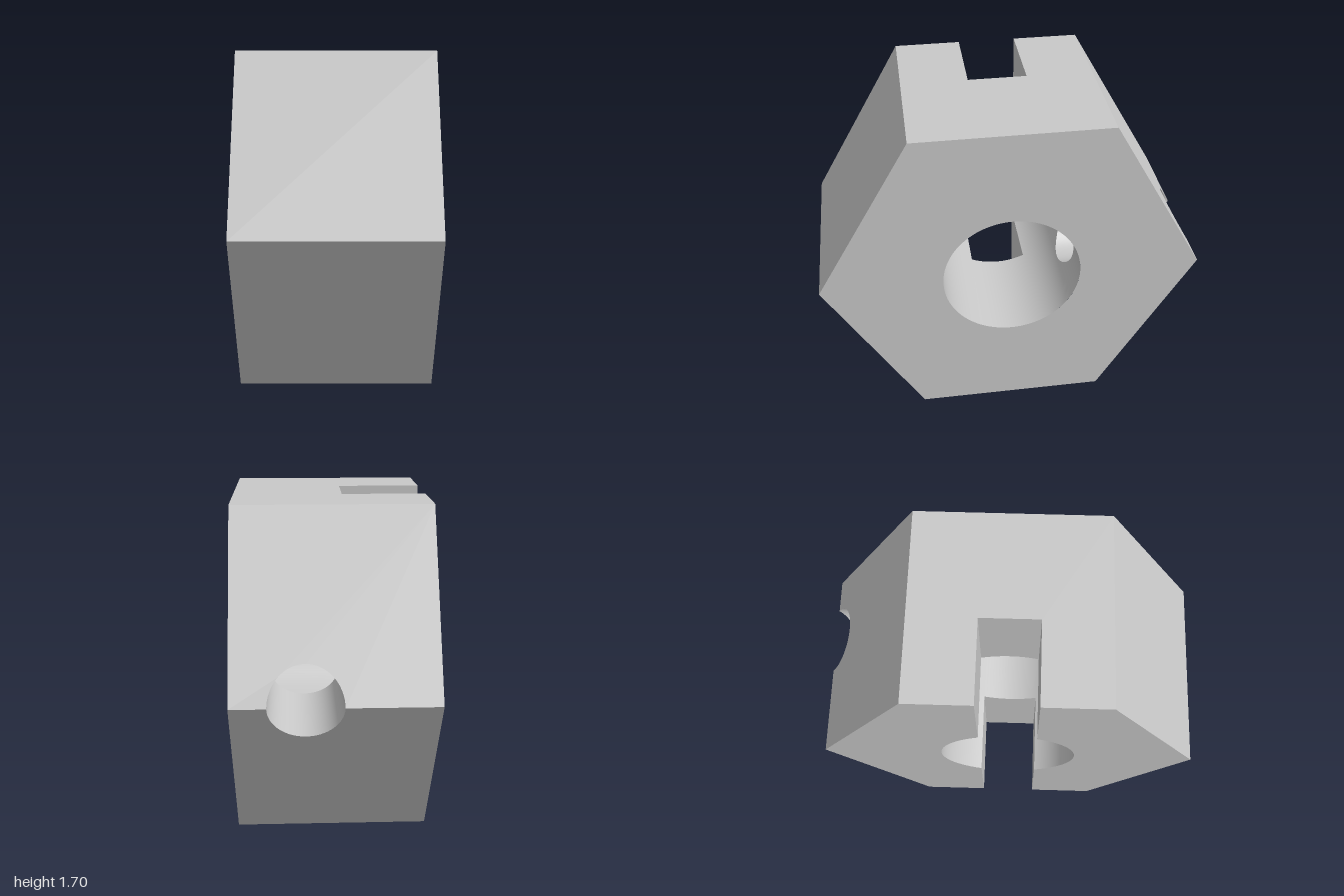
import * as THREE from 'three';
import { ParametricGeometry } from 'three/addons/geometries/ParametricGeometry.js';

const R = 0.98;                          // hexagon corner radius
const A = R * Math.sqrt(3) / 2;          // hexagon apothem
const END = 0.493, FLOOR = -0.063;       // end faces and slot floor along the axis (x)
const SLOT = 0.15;                       // half width of the slot
const BORE = 0.355;                      // main bore radius
const HX = 0.138, HR = 0.18;             // side hole centre and radius
const OPEN = Math.acos(SLOT / BORE);     // bore angle where the slot begins
const SEG = 64;

const vec = (x, y, z) => new THREE.Vector3(x, y, z);
const range = (n, f) => Array.from({ length: n + 1 }, (_, i) => f(i / n));
const arc = (r, from, to, n = 48) => range(n, t => {
  const a = from + (to - from) * t;
  return [r * Math.cos(a), r * Math.sin(a)];
});

export function createModel() {
  const steel = new THREE.MeshStandardMaterial({ color: 0xc8c8c8 });
  steel.name = 'grey metal';
  const nut = new THREE.Group();
  nut.name = 'slottedHexNut';

  const add = (name, geometry) => {
    const mesh = new THREE.Mesh(geometry, steel);
    mesh.name = name;
    nut.add(mesh);
  };

  // Flat face from 2D points, laid on axes u and v and facing u x v
  const face = (name, points, origin, u, v, hole) => {
    const shape = new THREE.Shape(points.map(p => new THREE.Vector2(...p)));
    if (hole) shape.holes.push(new THREE.Path(hole.map(p => new THREE.Vector2(...p))));
    const m = new THREE.Matrix4().makeBasis(u, v, u.clone().cross(v)).setPosition(origin);
    add(name, new THREE.ShapeGeometry(shape).applyMatrix4(m));
  };

  // Curved face
  const surface = (name, f, nu, nv) =>
    add(name, new ParametricGeometry((u, v, target) => target.set(...f(u, v)), nu, nv));

  const X = vec(1, 0, 0), Y = vec(0, 1, 0), Z = vec(0, 0, 1);

  // Solid end with the bore opening
  face('solidEnd', arc(R, 0, Math.PI * 2, 6).slice(0, 6), vec(END, 0, 0), vec(0, 0, -1), Y,
    arc(BORE, 0, Math.PI * 2, 128).slice(0, 128));

  // Slotted end: a jaw on each side and the slot walls
  for (const s of [1, -1]) {
    const jaw = [[SLOT, -A], [R / 2, -A], [R, 0], [R / 2, A], [SLOT, A], ...arc(BORE, OPEN, -OPEN)];
    face(s > 0 ? 'frontJawEnd' : 'backJawEnd', jaw.map(([z, y]) => [s * z, y]), vec(-END, 0, 0), Z, Y);

    const lip = BORE * Math.sin(OPEN);
    for (const k of [1, -1]) {
      const wall = [[-END, k * lip], [FLOOR, k * lip], [FLOOR, k * A], [-END, k * A]];
      face('slotWall', wall.map(([x, y]) => [-s * x, y]), vec(0, 0, s * SLOT), vec(-s, 0, 0), Y);
    }

    // Slot floor above and below the bore
    const floor = [[-SLOT, A], [SLOT, A], ...arc(BORE, OPEN, Math.PI - OPEN)];
    face('slotFloor', floor.map(([z, y]) => [z, s * y]), vec(FLOOR, 0, 0), Z, Y);
  }

  // Six outer flats: two cut by the slot, two notched by the side hole
  for (let i = 0; i < 6; i++) {
    const a = i * Math.PI / 3, c = Math.cos(a), s = Math.sin(a), h = R / 2;
    let points = [[-END, -h], [END, -h], [END, h], [-END, h]];
    if (i % 3 === 0) {
      points.push([-END, SLOT], [FLOOR, SLOT], [FLOOR, -SLOT], [-END, -SLOT]);
    } else if (i > 3) {
      const k = i === 5 ? 1 : -1;
      const notch = arc(HR, 0, Math.PI, SEG / 2)
        .map(([x, y]) => [HX + x, k * (h - y / Math.sin(Math.PI / 3))]);
      points = [[-END, -k * h], [END, -k * h], [END, k * h], ...notch, [-END, k * h]];
    }
    face('outerFlat', points, vec(0, c * A, s * A), X, vec(0, s, -c));
  }

  // Bore wall, angle measured from the back
  const onBore = (x, p) => [x, BORE * Math.sin(p), -BORE * Math.cos(p)];
  const boreWall = (name, x0, x1, p0, p1) =>
    surface(name, (u, v) => onBore(x0 + (x1 - x0) * u, p0 + (p1 - p0) * v), 1, 96);
  boreWall('boreWall', FLOOR, END, Math.PI / 4, Math.PI * 7 / 4);
  boreWall('backJawBore', -END, FLOOR, -OPEN, OPEN);
  boreWall('frontJawBore', -END, FLOOR, Math.PI - OPEN, Math.PI + OPEN);

  // Bore wall around the side hole, spread from the hole rim to a rectangle
  surface('boreWallAroundHole', (u, v) => {
    const t = v * Math.PI * 2, c = Math.cos(t), s = Math.sin(t);
    const m = Math.max(Math.abs(c), Math.abs(s));
    const outerX = HX + c / m * (c > 0 ? END - HX : HX - FLOOR);
    const rimX = HX + HR * c, rimP = Math.asin(HR * s / BORE);
    return onBore(rimX + (outerX - rimX) * u, rimP + (s / m * Math.PI / 4 - rimP) * u);
  }, 10, SEG);

  // Side hole from the bore out to the back edge
  surface('sideHole', (u, v) => {
    const t = u * Math.PI * 2, y = HR * Math.sin(t);
    const inner = -Math.sqrt(BORE * BORE - y * y);
    const outer = -(R - Math.abs(y) / Math.sqrt(3));
    return [HX + HR * Math.cos(t), y, inner + (outer - inner) * v];
  }, SEG, 1);

  // Stand on a flat, turned slightly about the vertical
  nut.rotation.y = THREE.MathUtils.degToRad(2.39);
  nut.position.y = A;
  const model = new THREE.Group();
  model.name = 'model';
  model.add(nut);
  return model;
}
